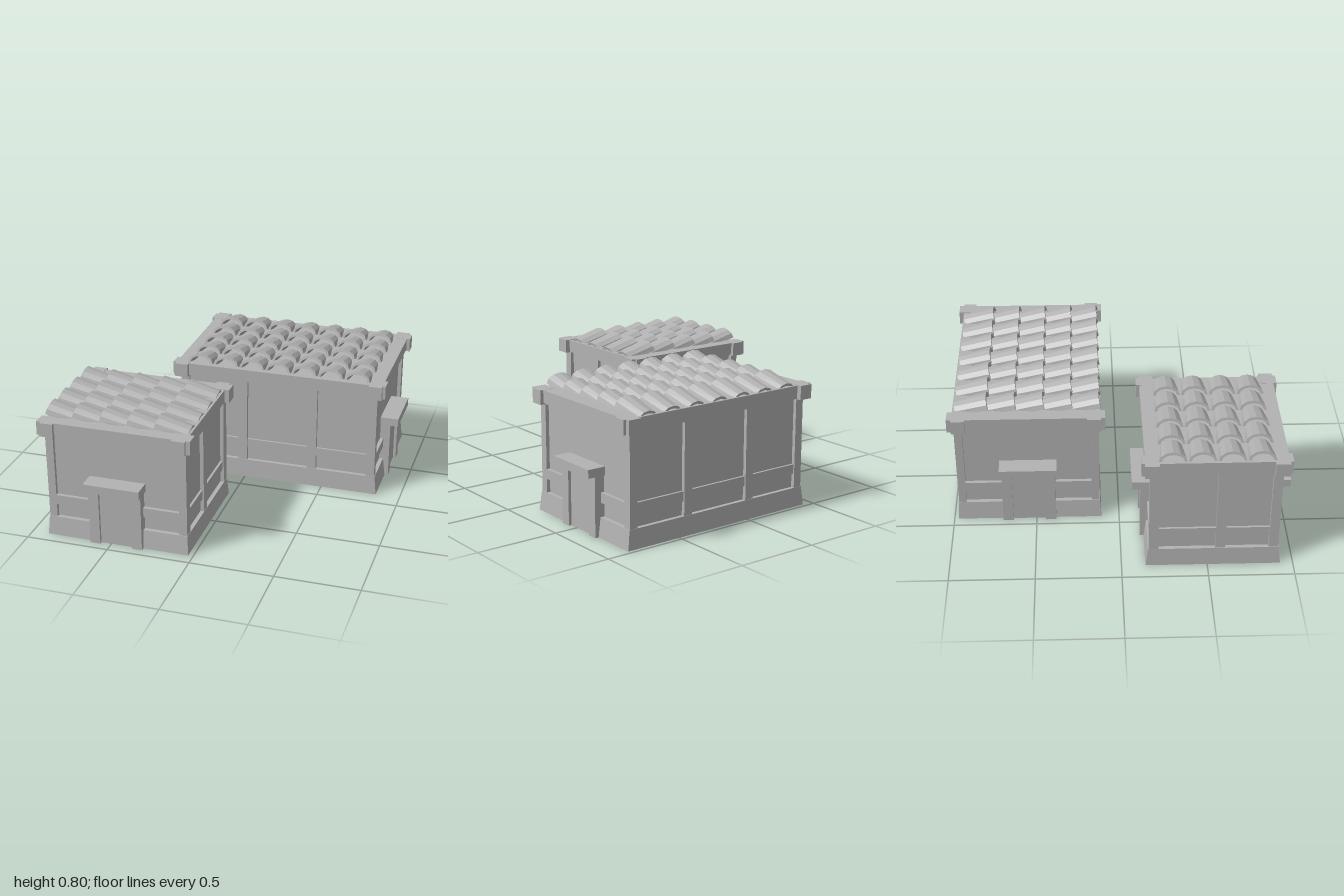
import * as THREE from 'three';

const plaster = new THREE.MeshStandardMaterial({ color: 0xb2b2b2 });
plaster.name = 'plainGrey';

function add(group, name, geometry) {
  const mesh = new THREE.Mesh(geometry, plaster);
  mesh.name = name;
  group.add(mesh);
  return mesh;
}

// Box given by its lower and upper limits
function block(group, name, x0, x1, y0, y1, z0, z1) {
  const g = new THREE.BoxGeometry(Math.abs(x1 - x0), y1 - y0, Math.abs(z1 - z0));
  g.translate((x0 + x1) / 2, (y0 + y1) / 2, (z0 + z1) / 2);
  return add(group, name, g);
}

// Curved roof tile: faceted arch, narrower at its low end, tilted up at the front
function tileGeometry() {
  const half = 0.08, rise = 0.056, thick = 0.016, n = 6, length = 0.195;
  const pts = [];
  for (let i = 0; i <= n; i++) {
    const a = (i / n) * Math.PI;
    pts.push(new THREE.Vector2(Math.cos(a) * half, Math.sin(a) * rise));
  }
  for (let i = n; i >= 0; i--) {
    const a = (i / n) * Math.PI;
    pts.push(new THREE.Vector2(Math.cos(a) * (half - thick), Math.sin(a) * (rise - thick)));
  }
  const g = new THREE.ExtrudeGeometry(new THREE.Shape(pts), { depth: length, bevelEnabled: false });
  g.translate(0, 0, -length);
  const p = g.attributes.position;
  for (let i = 0; i < p.count; i++) p.setX(i, p.getX(i) * (1 + 0.16 * p.getZ(i) / length));
  g.rotateX(-0.25);
  g.computeVertexNormals();
  return g;
}

// House with doors on its +-x ends and panelled long sides on +-z.
// u is the half length to the face of the end walls; panels lists x ranges.
function house(name, u, panels, columns) {
  const house = new THREE.Group();
  house.name = name;
  const v = 0.425, depth = 0.022, low = 0.115, high = 0.655;

  // Flared plinth and recessed wall core
  const plinth = new THREE.BoxGeometry(2, low, 2);
  const p = plinth.attributes.position;
  for (let i = 0; i < p.count; i++) {
    const flare = p.getY(i) < 0 ? 1 : 0;
    p.setX(i, p.getX(i) * (u + 0.004 + 0.014 * flare));
    p.setZ(i, p.getZ(i) * (v + 0.002 + 0.007 * flare));
  }
  plinth.translate(0, low / 2, 0);
  plinth.computeVertexNormals();
  add(house, 'plinth', plinth);
  block(house, 'wallCore', -u + depth, u - depth, low, high, -v + depth, v - depth);

  // Eaves slab carrying the tiles
  block(house, 'eavesBeam', -u - 0.018, u + 0.018, high, 0.733, -v - 0.007, v + 0.007);

  const inner = panels[panels.length - 1][1];
  for (const s of [-1, 1]) {
    // Long sides: posts between the panels, and a set-back rail
    const z0 = s * (v - depth - 0.005), z1 = s * v;
    for (let i = 0; i < panels.length - 1; i++) {
      block(house, 'sidePost', panels[i][1], panels[i + 1][0], low, high, z0, z1);
    }
    block(house, 'sideRail', -u + 0.03, u - 0.03, 0.198, 0.257, z0, s * (v - 0.008));

    // End walls: rail, door leaf, jambs and lintel
    const x0 = s * (u - depth - 0.005), x1 = s * u;
    block(house, 'endRail', x0, x1, 0.198, 0.257, -0.38, 0.38);
    block(house, 'door', x0, s * (u + 0.022), 0, 0.36, -0.1, 0.1);
    for (const t of [-1, 1]) {
      block(house, 'doorJamb', x0, s * (u + 0.04), 0, 0.358, t * 0.098, t * 0.16);
      // Corner posts
      block(house, 'cornerPost', t * inner, t * u, low, high, s * 0.378, s * v);
      // Corner caps made of two crossing blocks
      block(house, 'cornerCap', s * (u - 0.053), s * (u + 0.03), 0.652, 0.736, t * 0.36, t * 0.461);
      block(house, 'cornerCapEnd', s * (u - 0.04), s * (u + 0.048), 0.652, 0.736, t * 0.355, t * 0.435);
    }
    block(house, 'endParapet', s * (u - 0.05), s * (u + 0.028), 0.664, 0.735, -0.37, 0.37);
    block(house, 'doorLintel', x0, s * (u + 0.09), 0.355, 0.405, -0.17, 0.17);
  }

  // Rows of overlapping tiles
  const tile = tileGeometry();
  for (let c = 0; c < columns; c++) {
    for (let r = 0; r < 5; r++) {
      const mesh = add(house, 'roofTile', tile);
      mesh.position.set((c - (columns - 1) / 2) * 0.1655, 0.75, 0.437 - r * 0.1645);
    }
  }
  return house;
}

export function createModel() {
  const model = new THREE.Group();
  model.name = 'tiledHouses';

  const large = house('largeHouse', 0.625, [[-0.573, -0.252], [-0.195, 0.195], [0.252, 0.573]], 7);
  large.position.set(0.207, 0, -0.542);
  model.add(large);

  const small = house('smallHouse', 0.375, [[-0.31, 0.01], [0.068, 0.32]], 4);
  small.position.set(-0.464, 0, 0.533);
  small.rotation.y = -Math.PI / 2;
  model.add(small);

  return model;
}
